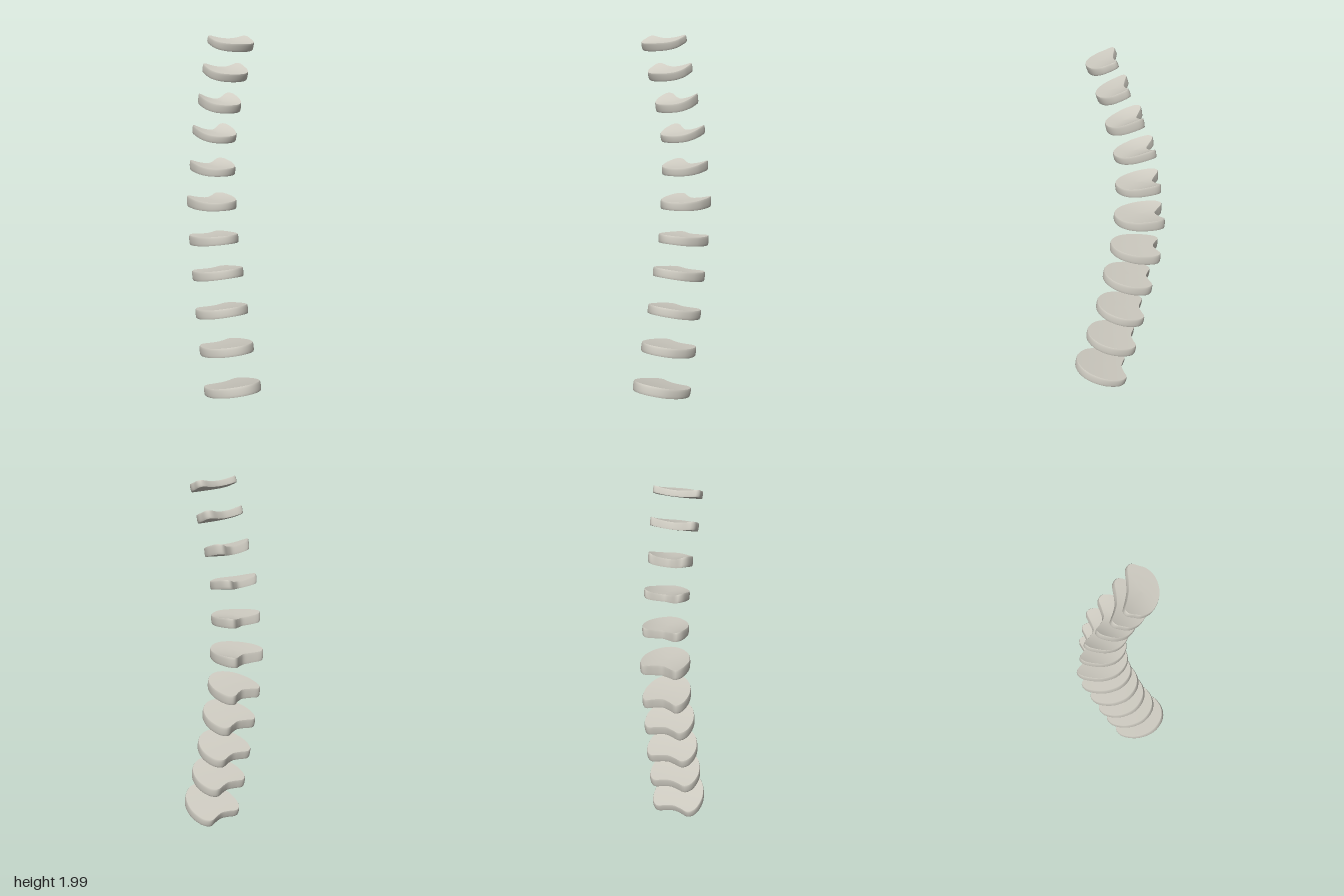
import * as THREE from 'three';

const SEG = 64;
const bone = new THREE.MeshStandardMaterial({ color: 0xcfccc2 });
bone.name = 'warm grey';

// One row per disc, bottom to top:
// front z, back z, front bottom y, front top y, back bottom y, back top y,
// half width, corner position, notch depth, corner lift, sag of the back underside
const DISCS = [
  [0.25, -0.05, 0.078, 0.132, 0.006, 0.052, 0.152, 0.66, 0.08, 0, 0],
  [0.18, -0.105, 0.285, 0.335, 0.227, 0.28, 0.145, 0.66, 0.08, 0, 0],
  [0.12, -0.15, 0.492, 0.54, 0.433, 0.484, 0.143, 0.66, 0.09, 0, 0],
  [0.08, -0.192, 0.698, 0.746, 0.643, 0.697, 0.136, 0.68, 0.1, 0, 0],
  [0.04, -0.235, 0.88, 0.927, 0.842, 0.897, 0.126, 0.7, 0.13, 0, 0.004],
  [0.018, -0.252, 1.063, 1.108, 1.055, 1.108, 0.127, 0.72, 0.17, 0.016, 0.014],
  [0.01, -0.228, 1.25, 1.292, 1.262, 1.307, 0.116, 0.75, 0.16, 0.022, 0],
  [0.02, -0.198, 1.43, 1.468, 1.464, 1.5, 0.112, 0.76, 0.18, 0.028, 0],
  [0.06, -0.135, 1.592, 1.636, 1.63, 1.672, 0.112, 0.74, 0.15, 0.03, 0],
  [0.105, -0.06, 1.757, 1.798, 1.808, 1.842, 0.121, 0.84, 0.1, 0.016, 0],
  [0.153, 0.0, 1.912, 1.952, 1.96, 1.987, 0.123, 0.88, 0.07, 0.013, 0],
];

// Kidney outline: x in -1..1, t from 0 (back) to 1 (front)
function outline(corner, notch) {
  const half = [[0.42, 0.94], [0.78, 0.77], [0.97, 0.52], [0.99, 0.32],
    [(corner + 1) / 2 + 0.06, 0.11], [corner, 0], [corner * 0.45, notch * 0.6]];
  const pts = [[0, 1], ...half, [0, notch], ...half.map(([x, t]) => [-x, t]).reverse()];
  const curve = new THREE.CatmullRomCurve3(pts.map(([x, t]) => new THREE.Vector3(x, 0, t)), true);
  return curve.getPoints(SEG).slice(0, SEG);
}

// Skin between rings of points, with shared normals
function skin(rings) {
  const pos = rings.flat().flatMap((p) => [p.x, p.y, p.z]);
  const index = [];
  for (let r = 0; r < rings.length - 1; r++) {
    for (let i = 0; i < SEG; i++) {
      const a = r * SEG + i, b = r * SEG + (i + 1) % SEG, c = a + SEG, d = b + SEG;
      index.push(a, b, c, b, d, c);
    }
  }
  const g = new THREE.BufferGeometry();
  g.setAttribute('position', new THREE.Float32BufferAttribute(pos, 3));
  g.setIndex(index);
  g.computeVertexNormals();
  return g;
}

function makeDisc([zf, zb, fb, ft, bb, bt, hw, corner, notch, lift, sag]) {
  const edge = outline(corner, notch);
  const len = zf - zb;
  const lean = ((fb + ft - bb - bt) / 2 / len) * 0.045;
  const centre = 0.46;

  // Point at radius r of the outline and height s (0 underside, 1 top)
  const place = (e, r, s) => {
    const x = e.x * r;
    const t = centre + (e.z - centre) * r;
    const low = THREE.MathUtils.lerp(bb, fb, t) - sag * Math.exp(-9 * x * x) * Math.max(0, 1 - 2.5 * t);
    const high = THREE.MathUtils.lerp(bt, ft, t);
    const raise = lift * (0.75 + 0.45 * s) * x * x * Math.max(0, 1 - t);
    const bow = 0.02 * t * (1 - t);
    const y = THREE.MathUtils.lerp(low, high, s) + raise - bow;
    const z = (zf + zb) / 2 + (t - 0.5) * (len - 0.3 * Math.abs(lean)) - lean * (s - 0.5);
    return new THREE.Vector3(x * hw, y, z);
  };
  const ring = (r, s) => edge.map((e) => place(e, r, s));

  const rim = 0.975;
  const radii = [0.001, 0.25, 0.5, 0.7, 0.85, 0.94, rim];
  const heights = [0, 0.08, 0.25, 0.5, 0.75, 0.92, 1];
  const bulge = (s) => rim + (1 - rim) * Math.sqrt(4 * s * (1 - s));

  const group = new THREE.Group();
  const add = (name, rings) => {
    const m = new THREE.Mesh(skin(rings), bone);
    m.name = name;
    group.add(m);
  };
  add('topFace', radii.map((r) => ring(r, 1)).reverse());
  add('outerWall', heights.map((s) => ring(bulge(s), s)));
  add('underside', radii.map((r) => ring(r, 0)));
  return group;
}

export function createModel() {
  const model = new THREE.Group();
  model.name = 'spinalDiscs';
  DISCS.forEach((row, i) => {
    const disc = makeDisc(row);
    disc.name = `disc${i + 1}`;
    model.add(disc);
  });
  return model;
}
